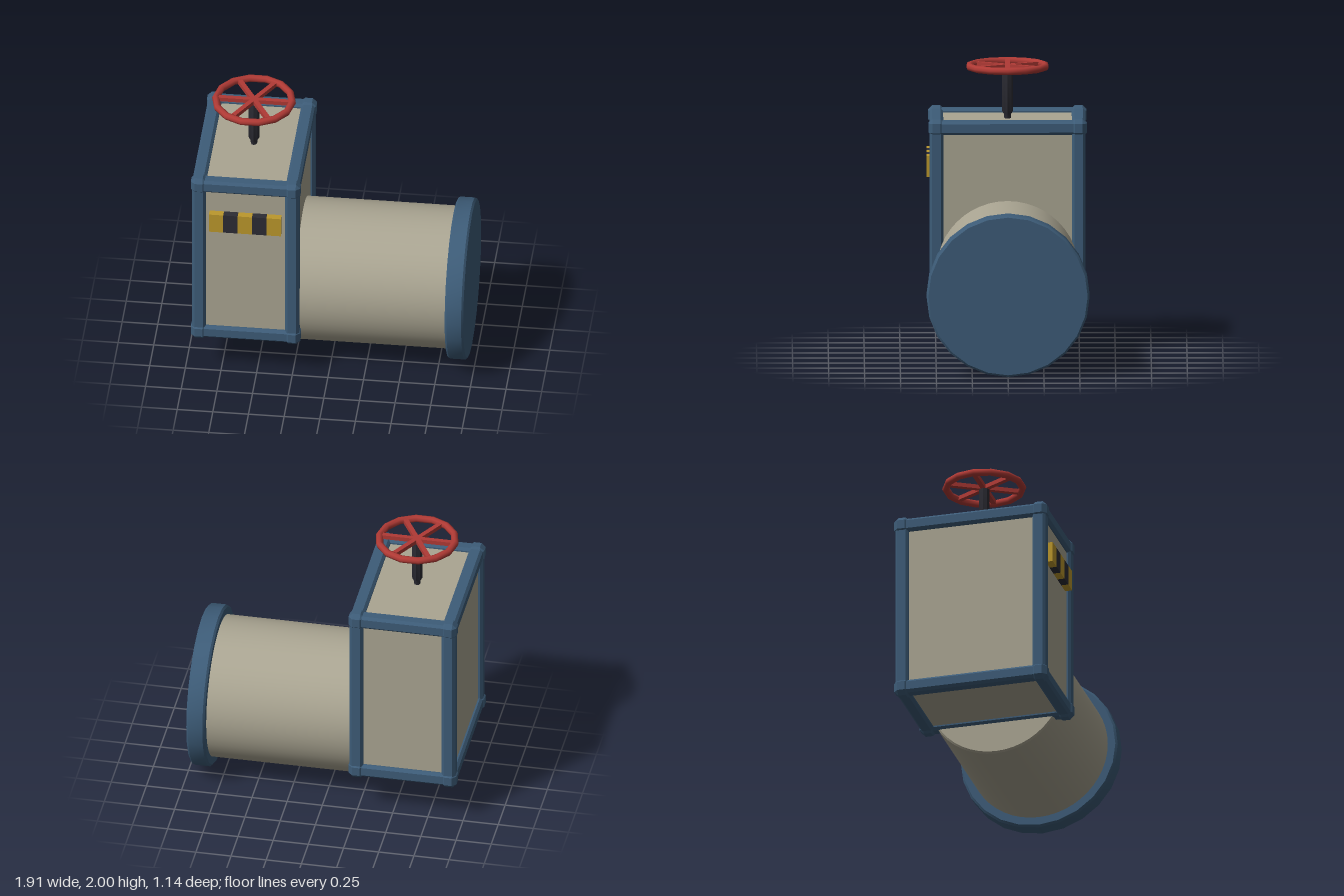
import * as THREE from 'three';
import { toCreasedNormals } from 'three/addons/utils/BufferGeometryUtils.js';
import { ConvexGeometry } from 'three/addons/geometries/ConvexGeometry.js';

const paint = (name, color) => {
  const m = new THREE.MeshStandardMaterial({ color });
  m.name = name;
  return m;
};

// Box with every edge cut at 45 degrees by c
function chamferBox(w, h, d, c) {
  const pts = [];
  for (const x of [-1, 1]) for (const y of [-1, 1]) for (const z of [-1, 1]) {
    for (let axis = 0; axis < 3; axis++) {
      const cut = [c, c, c];
      cut[axis] = 0;
      pts.push(new THREE.Vector3(x * (w / 2 - cut[0]), y * (h / 2 - cut[1]), z * (d / 2 - cut[2])));
    }
  }
  return new ConvexGeometry(pts);
}

// Turned solid with crisp edges; profile is [radius, height] from bottom to top
function turned(profile, sides) {
  const g = new THREE.LatheGeometry(profile.map(([r, y]) => new THREE.Vector2(r, y)), sides);
  return toCreasedNormals(g, 0.5);
}

export function createModel() {
  const model = new THREE.Group();
  model.name = 'valveUnit';
  const beige = paint('beige', 0xaaa592);
  const blue = paint('blue', 0x3d5c78);
  const red = paint('red', 0xb03a35);
  const yellow = paint('yellow', 0xbc982c);
  const dark = paint('charcoal', 0x2c2c34);

  const add = (name, geometry, material, x, y, z, parent = model) => {
    const mesh = new THREE.Mesh(geometry, material);
    mesh.name = name;
    mesh.position.set(x, y, z);
    parent.add(mesh);
    return mesh;
  };

  // Housing
  const cx = -0.575, cy = 0.968;
  add('housing', new THREE.BoxGeometry(0.69, 1.28, 1.03), beige, cx, cy, 0);

  // Frame: four bars along each axis and a joint at each corner
  const frame = new THREE.Group();
  frame.name = 'frame';
  frame.position.set(cx, cy, 0);
  model.add(frame);
  const hx = 0.327, hy = 0.62, hz = 0.496, t = 0.096;
  const barX = chamferBox(2 * hx, t, t, 0.018);
  const barY = chamferBox(t, 2 * hy, t, 0.018);
  const barZ = chamferBox(t, t, 2 * hz, 0.018);
  const joint = chamferBox(0.114, 0.124, 0.114, 0.03);
  for (const a of [-1, 1]) for (const b of [-1, 1]) {
    add('frameBarAcross', barX, blue, 0, a * hy, b * hz, frame);
    add('frameBarUpright', barY, blue, a * hx, 0, b * hz, frame);
    add('frameBarDepth', barZ, blue, a * hx, b * hy, 0, frame);
    for (const c of [-1, 1]) add('frameJoint', joint, blue, a * hx, b * hy, c * hz, frame);
  }

  // Hazard sign on the front
  const sign = new THREE.Group();
  sign.name = 'hazardSign';
  model.add(sign);
  const block = new THREE.BoxGeometry(0.101, 0.146, 0.055);
  for (let i = 0; i < 5; i++) {
    add('signBlock', block, i % 2 ? dark : yellow, cx + (i - 2) * 0.101, 1.303, 0.538, sign);
  }

  // Pipe and its end cap, lying along x
  const pipe = turned([[0, -0.28], [0.488, -0.28], [0.5, -0.268], [0.5, 0.85], [0, 0.85]], 48);
  add('pipe', pipe, beige, 0, 0.573, 0).rotation.z = -Math.PI / 2;
  const cap = turned([[0, 0.825], [0.555, 0.825], [0.569, 0.839], [0.569, 0.942], [0.555, 0.956], [0, 0.956]], 24);
  add('pipeCap', cap, blue, 0, 0.57, 0).rotation.z = -Math.PI / 2;

  // Valve stem
  const stem = turned([[0, 1.6], [0.022, 1.6], [0.024, 1.635], [0.038, 1.66], [0.038, 1.965], [0, 1.965]], 8);
  add('valveStem', stem, dark, cx, 0, 0);

  // Handwheel: rim and three full-width spokes
  const wheel = new THREE.Group();
  wheel.name = 'handwheel';
  wheel.position.set(cx, 1.974, 0);
  model.add(wheel);
  add('wheelRim', new THREE.TorusGeometry(0.268, 0.026, 8, 14), red, 0, 0, 0, wheel).rotation.x = Math.PI / 2;
  const spoke = new THREE.BoxGeometry(0.52, 0.03, 0.034);
  for (let i = 0; i < 3; i++) {
    add('wheelSpoke', spoke, red, 0, 0, 0, wheel).rotation.y = i * Math.PI / 3;
  }
  return model;
}
